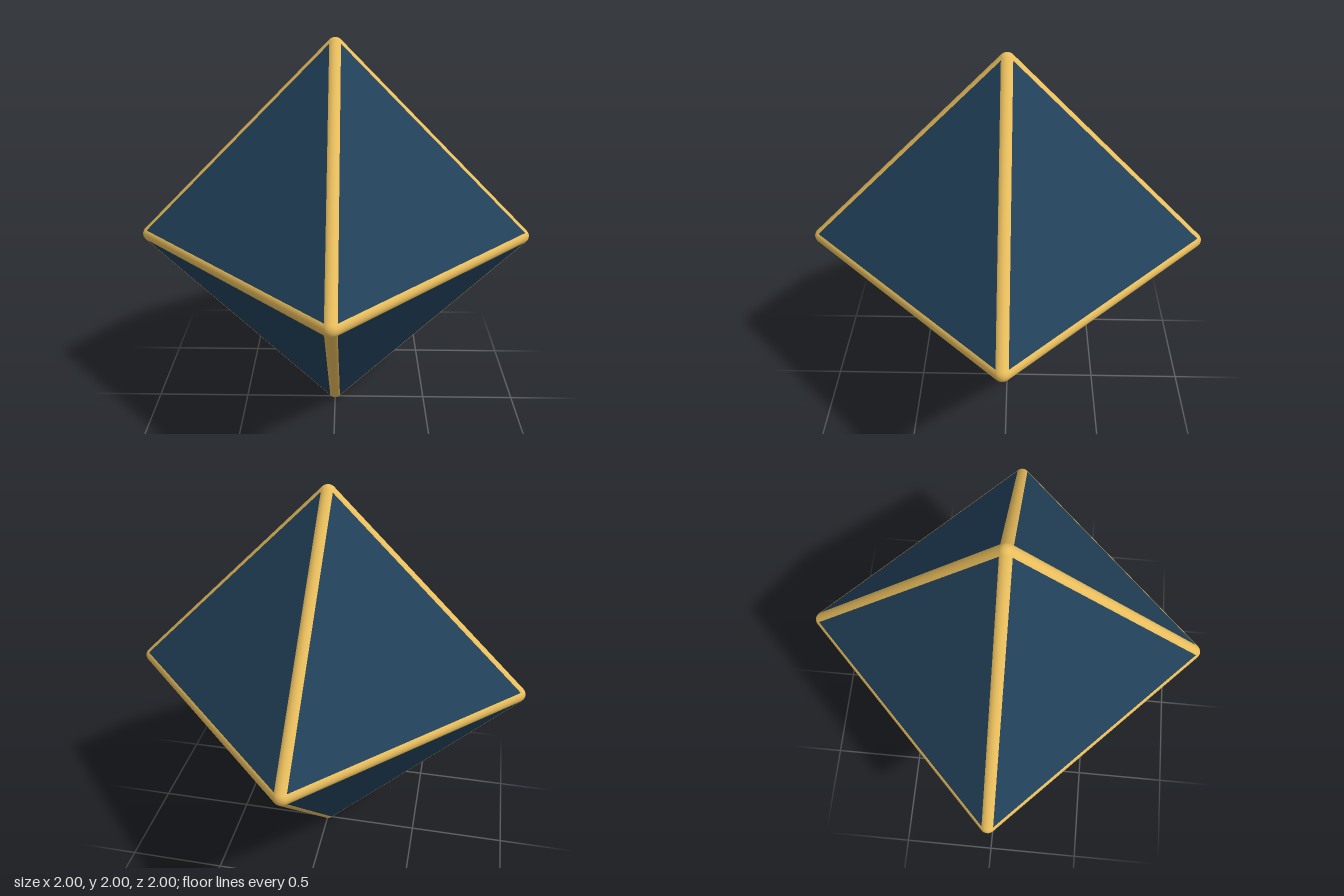
import * as THREE from 'three';
import { ConvexGeometry } from 'three/addons/geometries/ConvexGeometry.js';

const R = 0.04;        // radius of the gold edge rods
const REACH = 1 - R;   // distance of the rod ends from the centre
const LIFT = 0.0395;   // faces sit just below the rods' outer surface

export function createModel() {
  const group = new THREE.Group();
  group.name = 'eightSidedDie';
  const blue = new THREE.MeshStandardMaterial({ color: 0x22405a });
  const gold = new THREE.MeshStandardMaterial({ color: 0xe8bd5c });

  const corners = [[1, 0, 0], [-1, 0, 0], [0, 1, 0], [0, -1, 0], [0, 0, 1], [0, 0, -1]]
    .map((c) => new THREE.Vector3(...c).multiplyScalar(REACH));

  const add = (name, geometry, material, position) => {
    const mesh = new THREE.Mesh(geometry, material);
    mesh.name = name;
    mesh.position.copy(position);
    mesh.position.y += 1;
    group.add(mesh);
    return mesh;
  };

  // Body: eight triangles, each pushed out along its own normal
  const points = [];
  for (const x of [1, -1]) for (const y of [1, -1]) for (const z of [1, -1]) {
    const push = new THREE.Vector3(x, y, z).normalize().multiplyScalar(LIFT);
    points.push(
      new THREE.Vector3(x * REACH, 0, 0).add(push),
      new THREE.Vector3(0, y * REACH, 0).add(push),
      new THREE.Vector3(0, 0, z * REACH).add(push));
  }
  add('body', new ConvexGeometry(points), blue, new THREE.Vector3());

  // Edge rods between every pair of neighbouring corners
  const up = new THREE.Vector3(0, 1, 0);
  const rod = new THREE.CylinderGeometry(R, R, REACH * Math.SQRT2, 32, 1, true);
  corners.forEach((a, i) => corners.slice(i + 1).forEach((b) => {
    if (Math.abs(a.dot(b)) > 0.1) return; // opposite corners share no edge
    const middle = a.clone().add(b).multiplyScalar(0.5);
    add('edgeRod', rod, gold, middle)
      .quaternion.setFromUnitVectors(up, b.clone().sub(a).normalize());
  }));

  // Rounded corner caps
  const cap = new THREE.SphereGeometry(R, 32, 20);
  corners.forEach((c) => add('cornerCap', cap, gold, c));

  return group;
}
